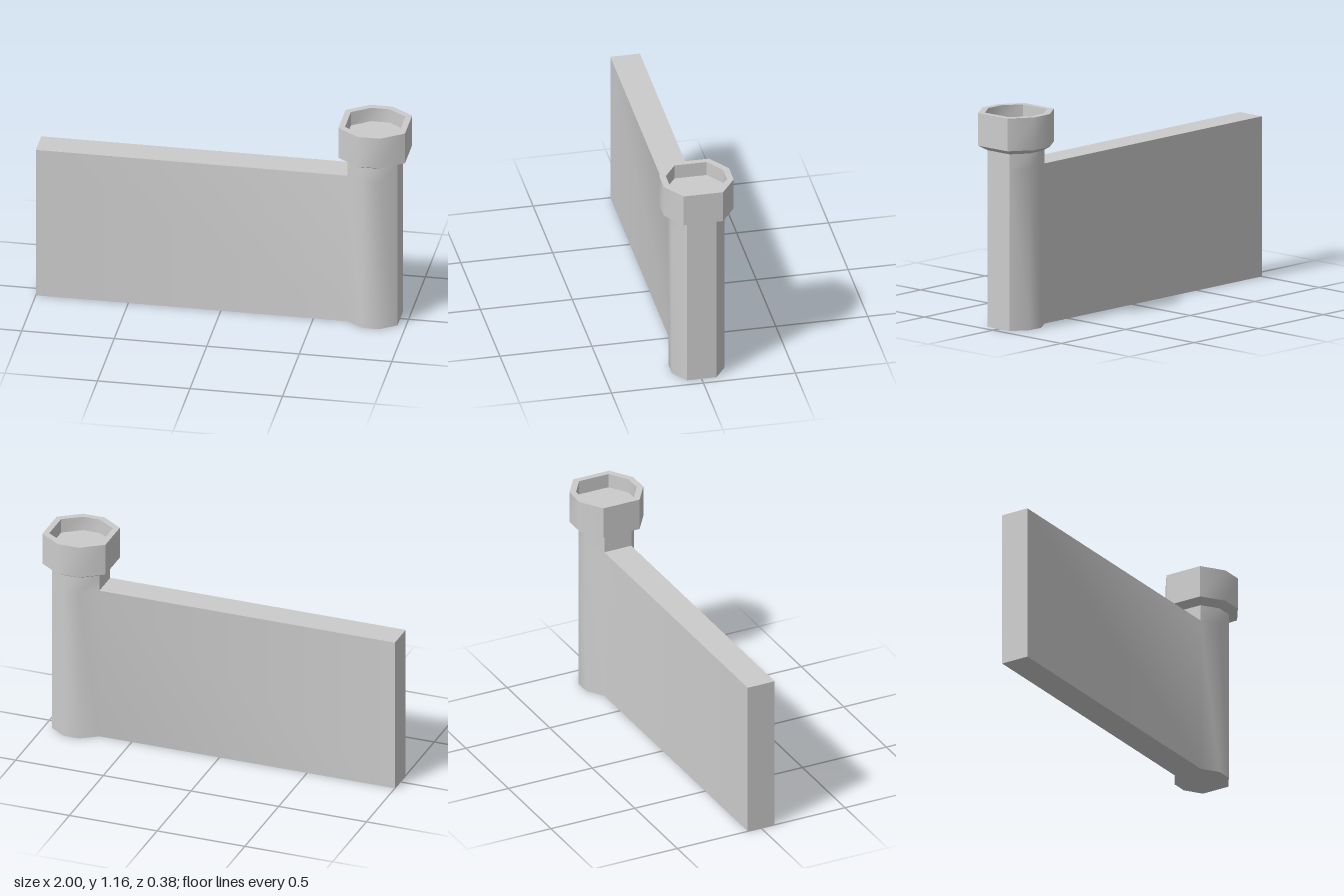
import * as THREE from 'three';
import { mergeGeometries, toCreasedNormals } from 'three/addons/utils/BufferGeometryUtils.js';

const CX = 0.82; // post axis
const NECK = 0.75; // post width relative to the cap
const WALL_H = 0.87, NECK_H = 0.96;
const CREASE = 0.8;

// Octagon outline of the cap, counter-clockwise seen from above, y pointing to the back
const OCTAGON = [
  [-0.18, -0.107], [-0.06, -0.19], [0.06, -0.19], [0.18, -0.107],
  [0.18, 0.107], [0.06, 0.19], [-0.06, 0.19], [-0.18, 0.107],
];

// Skin through scaled octagons; levels are [scale, height]
function octagonLoft(levels) {
  const pos = [];
  const point = (i, [s, y]) => {
    const [x, back] = OCTAGON[i % 8];
    return [CX + x * s, y, -back * s];
  };
  for (let l = 0; l < levels.length - 1; l++) {
    for (let i = 0; i < 8; i++) {
      const a = point(i, levels[l]), b = point(i + 1, levels[l]);
      const c = point(i + 1, levels[l + 1]), d = point(i, levels[l + 1]);
      pos.push(...a, ...b, ...c);
      if (levels[l + 1][0] > 0) pos.push(...a, ...c, ...d);
    }
  }
  const geo = new THREE.BufferGeometry();
  geo.setAttribute('position', new THREE.Float32BufferAttribute(pos, 3));
  geo.computeVertexNormals();
  return geo;
}

export function createModel() {
  const group = new THREE.Group();
  const material = new THREE.MeshStandardMaterial({ color: 0xcccccc });
  const add = (name, geo) => {
    const mesh = new THREE.Mesh(toCreasedNormals(geo, CREASE), material);
    mesh.name = name;
    group.add(mesh);
  };

  // Wall panel and post share one footprint
  const half = 0.107 * NECK;
  const outline = [
    [-1, -half],
    ...OCTAGON.map(([x, y]) => [CX + x * NECK, y * NECK]),
    [-1, half],
  ].map(([x, y]) => new THREE.Vector2(x, y));
  const body = new THREE.ExtrudeGeometry(new THREE.Shape(outline), { depth: WALL_H, bevelEnabled: false });
  body.rotateX(-Math.PI / 2);
  body.deleteAttribute('uv');

  // Post continues above the wall as a short neck
  const neck = octagonLoft([[NECK, WALL_H], [NECK, NECK_H]]);
  add('wallAndPost', mergeGeometries([body, neck]));

  // Flared cap with a recessed top
  add('postCap', octagonLoft([
    [NECK, NECK_H], [1, 0.987], [1, 1.165], [0.82, 1.165], [0.82, 1.085], [0, 1.085],
  ]));

  return group;
}
